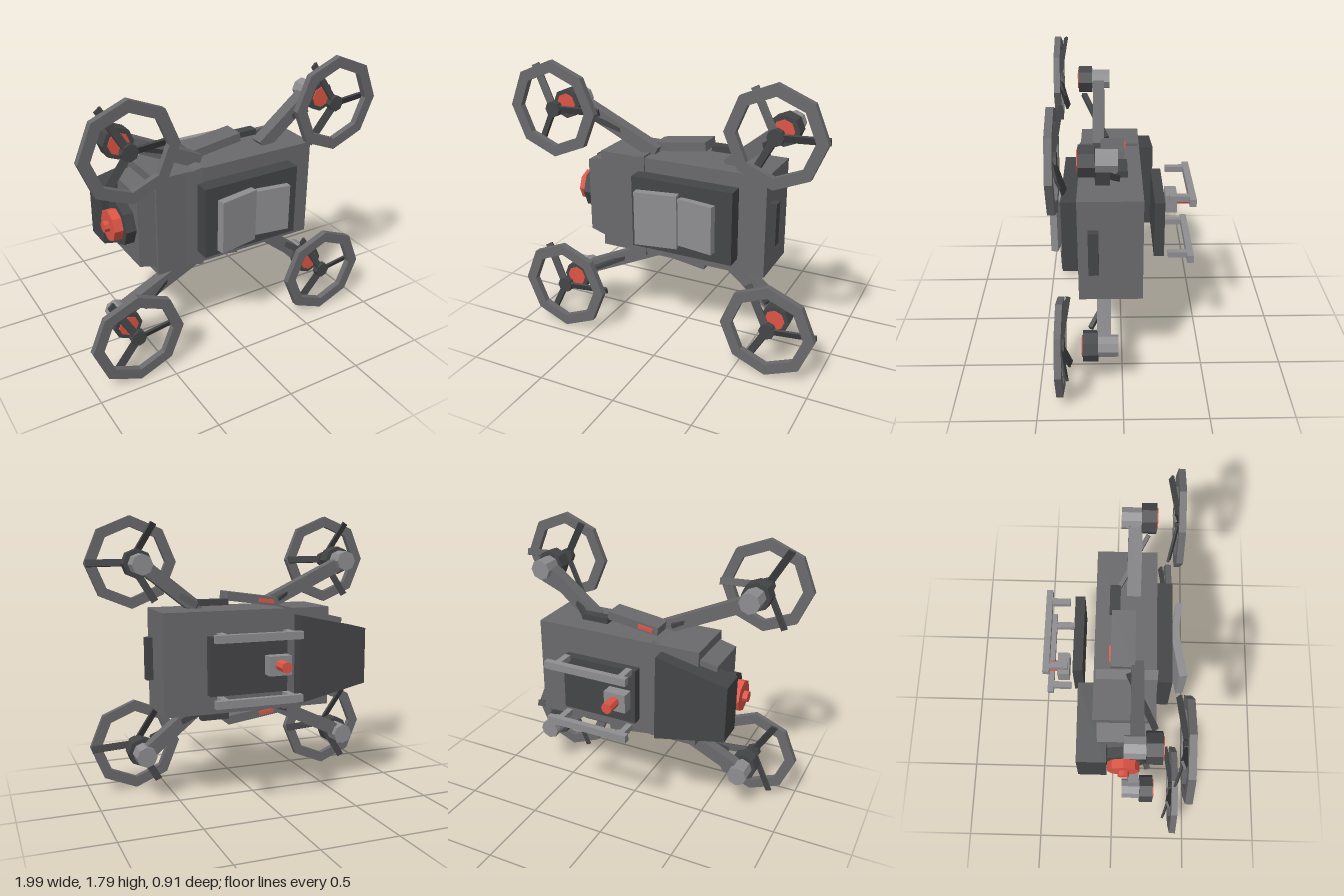
import * as THREE from 'three';

const mat = (color) => new THREE.MeshStandardMaterial({ color, flatShading: true });
const MID = mat(0x6a6a6d), DARK = mat(0x444547), LIGHT = mat(0x8e8e91), RED = mat(0xdd5546);
const CY = 0.9; // mirror line between the two sides

export function createModel() {
  const model = new THREE.Group();
  model.name = 'drone';

  const add = (name, geo, material, x = 0, y = 0, z = 0, parent = model) => {
    const m = new THREE.Mesh(geo, material);
    m.name = name;
    m.position.set(x, y, z);
    parent.add(m);
    return m;
  };
  // Box given by its limits
  const box = (name, material, [x0, x1], [y0, y1], [z0, z1]) =>
    add(name, new THREE.BoxGeometry(x1 - x0, Math.abs(y1 - y0), z1 - z0), material,
      (x0 + x1) / 2, (y0 + y1) / 2, (z0 + z1) / 2);
  // Square bar between two points
  const bar = (name, material, a, b, height, depth) => {
    const p = new THREE.Vector3(...a), q = new THREE.Vector3(...b);
    const d = q.clone().sub(p), c = p.clone().add(q).multiplyScalar(0.5);
    const m = add(name, new THREE.BoxGeometry(d.length(), height, depth), material, c.x, c.y, c.z);
    m.quaternion.setFromUnitVectors(new THREE.Vector3(1, 0, 0), d.normalize());
    return m;
  };
  // Tapered block along x; each end is [x, half height, zMin, zMax]
  const taper = (name, material, front, rear) => {
    const g = new THREE.BoxGeometry(1, 1, 1), p = g.attributes.position;
    for (let i = 0; i < p.count; i++) {
      const [x, h, z0, z1] = p.getX(i) < 0 ? front : rear;
      p.setXYZ(i, x, CY + Math.sign(p.getY(i)) * h, p.getZ(i) < 0 ? z0 : z1);
    }
    g.computeVertexNormals();
    return add(name, g, material);
  };
  const cylX = (r, l, n = 8) => new THREE.CylinderGeometry(r, r, l, n).rotateZ(Math.PI / 2);
  const cylZ = (r, l, n = 8) => new THREE.CylinderGeometry(r, r, l, n).rotateX(Math.PI / 2);

  // Hull
  box('hull', MID, [-0.48, 0.62], [0.58, 1.22], [-0.12, 0.255]);
  taper('noseHood', MID, [-0.59, 0.24, -0.09, 0.23], [-0.17, 0.333, -0.11, 0.265]);
  taper('chin', DARK, [-0.7, 0.18, -0.213, -0.035], [-0.24, 0.28, -0.213, -0.035]);
  box('tailPanel', DARK, [0.61, 0.663], [0.77, 1.04], [0.135, 0.195]);

  // Stacked deck with two sloping hatches
  box('deck', DARK, [-0.21, 0.45], [0.67, 1.13], [0.25, 0.355]);
  add('frontHatch', new THREE.BoxGeometry(0.265, 0.34, 0.05), LIGHT, -0.017, CY, 0.403).rotation.y = 0.175;
  add('rearHatch', new THREE.BoxGeometry(0.235, 0.3, 0.042), LIGHT, 0.237, CY, 0.388).rotation.y = -0.155;

  // Nose camera
  add('noseLensHousing', cylX(0.14, 0.08), DARK, -0.615, CY, 0.07);
  add('noseLens', cylX(0.1, 0.06), RED, -0.682, CY, 0.07);
  add('noseLensTip', cylX(0.035, 0.035), RED, -0.726, CY, 0.07);

  // Belly plate and hanging camera
  box('bellyPlate', DARK, [-0.13, 0.37], [0.72, 1.08], [-0.257, -0.195]);
  box('bellyCamera', LIGHT, [-0.113, 0.03], [0.84, 0.96], [-0.36, -0.285]);
  add('bellyCameraLens', cylZ(0.035, 0.1), RED, -0.04, 0.905, -0.408);

  // Flat octagonal guard ring
  const outline = (r, Type) => {
    const pts = [];
    for (let i = 0; i < 8; i++) pts.push(new THREE.Vector2(r * Math.cos(i * Math.PI / 4), r * Math.sin(i * Math.PI / 4)));
    return new Type(pts);
  };
  const ring = outline(0.297, THREE.Shape);
  ring.holes.push(outline(0.227, THREE.Path));
  const ringGeo = new THREE.ExtrudeGeometry(ring, { depth: 0.04, bevelEnabled: false }).translate(0, 0, -0.02);
  const bladeGeo = new THREE.BoxGeometry(0.295, 0.046, 0.014)
    .rotateX(0.4).translate(0.147, 0, 0).rotateY(0.16);

  const rotor = (x, y, z) => {
    const g = new THREE.Group();
    g.name = 'rotor';
    g.position.set(x, y, 0);
    model.add(g);
    add('motor', cylZ(0.066, 0.13), LIGHT, 0, 0, z + 0.065, g);
    add('motorCollar', cylZ(0.093, 0.09), DARK, 0, 0, z + 0.165, g);
    add('motorCap', cylZ(0.065, 0.02), RED, 0, 0, z + 0.207, g);
    add('guardRing', ringGeo, MID, 0, 0, z + 0.345, g);
    add('hub', cylZ(0.05, 0.04), DARK, 0, 0, z + 0.34, g);
    for (let i = 0; i < 3; i++)
      add('blade', bladeGeo, DARK, 0, 0, z + 0.345, g).rotation.z = i * Math.PI * 2 / 3;
  };

  // Parts repeated on both sides
  for (const s of [1, -1]) {
    const Y = (d) => CY + s * d; // distance from the mirror line
    rotor(-0.703, Y(0.6), 0.065);
    rotor(0.697, Y(0.6), 0.025);

    // Arms with diagonal braces
    bar('frontArm', MID, [-0.14, Y(0.325), 0.14], [-0.66, Y(0.57), 0.14], 0.085, 0.075);
    bar('rearArm', MID, [0.33, Y(0.31), 0.11], [0.66, Y(0.575), 0.11], 0.085, 0.085);
    bar('frontBrace', DARK, [-0.21, Y(0.36), 0.09], [-0.58, Y(0.53), 0.238], 0.035, 0.025);
    bar('rearBrace', DARK, [0.36, Y(0.34), 0.02], [0.63, Y(0.52), 0.19], 0.035, 0.025);

    // Side pod, red marker and rear fairing
    add('sidePod', new THREE.BoxGeometry(0.345, 0.055, 0.145), MID, 0.005, Y(0.375), 0.052).rotation.z = s * 0.14;
    add('sideMarker', new THREE.BoxGeometry(0.1, 0.025, 0.02), RED, -0.085, Y(0.362), -0.021).rotation.z = s * 0.14;
    box('sideFairing', DARK, [0.175, 0.357], [Y(0.345), Y(0.382)], [-0.035, 0.03]);

    // Landing skid
    box('skidRail', LIGHT, [-0.155, 0.395], [Y(0.168), Y(0.215)], [-0.438, -0.398]);
    for (const x of [-0.105, 0.32])
      box('skidPost', LIGHT, [x - 0.02, x + 0.02], [Y(0.173), Y(0.21)], [-0.4, -0.285]);
  }
  return model;
}
